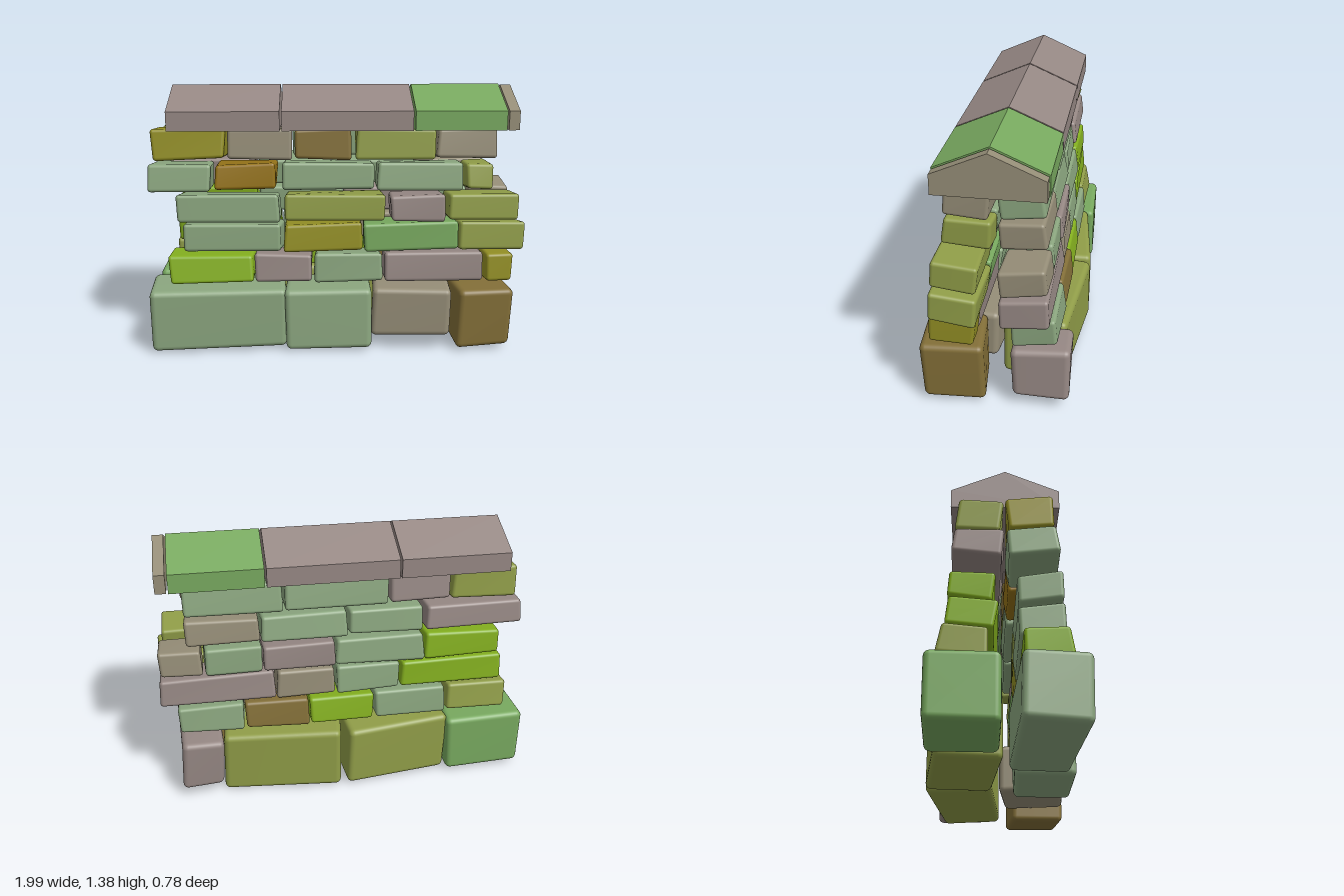
import * as THREE from 'three';
import { RoundedBoxGeometry } from 'three/addons/geometries/RoundedBoxGeometry.js';
import { mergeVertices } from 'three/addons/utils/BufferGeometryUtils.js';

const COLORS = {
  sage: 0x8ba67f, mauve: 0x968884, taupe: 0x968e78, olive: 0x909d48, mustard: 0x949025,
  lime: 0x84b01f, green: 0x78a95f, brown: 0x836f38, ochre: 0x957318,
};

// Small seeded generator, returns -1..1
let seed = 7;
function rand() {
  seed = (seed * 16807) % 2147483647;
  return (seed / 2147483647) * 2 - 1;
}

// Rounded block whose eight corners are nudged for a hewn look
function stoneGeometry(w, h, d, radius, jitter) {
  const geo = new RoundedBoxGeometry(w, h, d, 3, radius);
  geo.deleteAttribute('normal');
  geo.deleteAttribute('uv');
  geo.clearGroups();
  const corners = Array.from({ length: 8 }, () =>
    new THREE.Vector3(rand(), rand(), rand()).multiplyScalar(jitter));
  const pos = geo.attributes.position;
  const p = new THREE.Vector3();
  for (let i = 0; i < pos.count; i++) {
    p.fromBufferAttribute(pos, i);
    const f = [p.x / w + 0.5, p.y / h + 0.5, p.z / d + 0.5];
    corners.forEach((c, k) => {
      const weight = f.reduce((acc, t, axis) => acc * ((k >> axis) & 1 ? t : 1 - t), 1);
      p.addScaledVector(c, weight);
    });
    pos.setXYZ(i, p.x, p.y, p.z);
  }
  const merged = mergeVertices(geo, 1e-5);
  merged.computeVertexNormals();
  return merged;
}

// Foundation: [x0, x1, y0, y1, z0, z1, colour, yaw]
const FOUNDATION = [
  [-0.98, -0.27, 0.04, 0.37, 0.05, 0.36, 'sage', 0.05],
  [-0.26, 0.19, 0.04, 0.37, 0.06, 0.365, 'sage', -0.01],
  [0.2, 0.62, 0.1, 0.365, 0.01, 0.355, 'taupe', -0.08],
  [0.63, 0.92, 0.04, 0.37, 0.06, 0.37, 'brown', 0.1],
  [0.68, 0.9, 0.08, 0.365, -0.36, -0.08, 'mauve', 0.03],
  [0.03, 0.66, 0.03, 0.375, -0.36, -0.02, 'olive', -0.1],
  [-0.54, 0.02, 0.03, 0.375, -0.365, -0.02, 'olive', 0.1],
  [-0.98, -0.55, 0.04, 0.37, -0.36, -0.02, 'green', 0],
];

// Upper courses: height range, inner and outer z, then stones as [x0, x1, colour]
const COURSES = [
  { y: [0.39, 0.55], front: [0.08, 0.315], back: [0.07, 0.305],
    frontStones: [[-0.87, -0.43, 'lime'], [-0.42, -0.12, 'mauve'], [-0.11, 0.24, 'sage'],
      [0.26, 0.77, 'mauve'], [0.79, 0.93, 'mustard']],
    backStones: [[-0.88, -0.55, 'olive'], [-0.54, -0.15, 'sage'], [-0.14, 0.2, 'lime'],
      [0.21, 0.54, 'brown'], [0.55, 0.89, 'sage']] },
  { y: [0.55, 0.71], front: [0.06, 0.295], back: [0.03, 0.28],
    frontStones: [[-0.8, -0.28, 'sage'], [-0.27, 0.14, 'mustard'], [0.15, 0.64, 'green'],
      [0.65, 0.99, 'olive']],
    backStones: [[-0.86, -0.3, 'lime'], [-0.29, 0.05, 'sage'], [0.06, 0.37, 'taupe'],
      [0.38, 0.98, 'mauve']] },
  { y: [0.71, 0.86], front: [0.06, 0.285], back: [0.04, 0.27],
    frontStones: [[-0.82, -0.29, 'sage'], [-0.26, 0.26, 'olive'], [0.29, 0.57, 'mauve'],
      [0.59, 0.96, 'olive']],
    backStones: [[-0.84, -0.43, 'lime'], [-0.42, 0.05, 'sage'], [0.06, 0.43, 'mauve'],
      [0.44, 0.74, 'sage'], [0.75, 0.97, 'taupe']] },
  { y: [0.87, 1.02], front: [0.01, 0.255], back: [0.01, 0.245],
    frontStones: [[-0.97, -0.65, 'sage'], [-0.63, -0.31, 'ochre'], [-0.28, 0.2, 'sage'],
      [0.22, 0.67, 'sage'], [0.69, 0.82, 'olive']],
    backStones: [[-0.95, -0.43, 'mauve'], [-0.42, -0.02, 'sage'], [-0.01, 0.44, 'sage'],
      [0.45, 0.82, 'taupe']] },
  { y: [1.03, 1.2], front: [0.01, 0.235], back: [0.01, 0.23],
    frontStones: [[-0.95, -0.57, 'mustard'], [-0.56, -0.23, 'taupe'], [-0.21, 0.09, 'brown'],
      [0.11, 0.52, 'olive'], [0.53, 0.84, 'taupe']],
    backStones: [[-0.92, -0.57, 'olive'], [-0.56, -0.24, 'mauve'], [-0.23, 0.31, 'sage'],
      [0.32, 0.82, 'sage']] },
];

// Gabled coping blocks: [x0, x1, colour, scale]
const COPING = [
  [-0.86, -0.285, 'mauve', 1], [-0.275, 0.4, 'mauve', 1],
  [0.41, 0.88, 'green', 1], [0.89, 0.945, 'taupe', 0.98],
];

export function createModel() {
  const wall = new THREE.Group();
  wall.name = 'stoneWall';
  const mats = {};
  for (const [name, color] of Object.entries(COLORS)) {
    mats[name] = new THREE.MeshStandardMaterial({ color });
    mats[name].name = name;
  }

  const addGroup = (name) => {
    const g = new THREE.Group();
    g.name = name;
    wall.add(g);
    return g;
  };

  // Large foundation blocks
  const foundation = addGroup('foundation');
  for (const [x0, x1, y0, y1, z0, z1, color, yaw] of FOUNDATION) {
    const block = new THREE.Mesh(
      stoneGeometry(x1 - x0, y1 - y0, z1 - z0, 0.03, 0.01), mats[color]);
    block.name = 'foundationBlock';
    block.position.set((x0 + x1) / 2, (y0 + y1) / 2, (z0 + z1) / 2);
    block.rotation.y = yaw;
    foundation.add(block);
  }

  // Two leaves of smaller stones, each leaning towards the middle
  for (const [side, sign] of [['front', 1], ['back', -1]]) {
    const leaf = addGroup(side + 'Leaf');
    for (const course of COURSES) {
      const [y0, y1] = course.y;
      const [zIn, zOut] = course[side];
      for (const [x0, x1, color] of course[side + 'Stones']) {
        const stone = new THREE.Mesh(
          stoneGeometry(x1 - x0, y1 - y0 - 0.012, zOut - zIn - 0.01, 0.018, 0.009), mats[color]);
        stone.name = side + 'Stone';
        stone.position.set((x0 + x1) / 2, (y0 + y1) / 2 - 0.008, sign * (zIn + zOut) / 2);
        stone.rotation.x = -sign * 0.1;
        leaf.add(stone);
      }
    }
  }

  // Coping on top
  const coping = addGroup('coping');
  const base = 1.19;
  for (const [x0, x1, color, s] of COPING) {
    const gable = new THREE.Shape(
      [[-0.263, 0], [0.263, 0], [0.263, 0.1], [0, 0.215], [-0.263, 0.1]]
        .map(([z, y]) => new THREE.Vector2(z * s, y * s)));
    const geo = new THREE.ExtrudeGeometry(gable, { depth: x1 - x0, bevelEnabled: false });
    geo.rotateY(Math.PI / 2);
    const cap = new THREE.Mesh(geo, mats[color]);
    cap.name = 'copingBlock';
    cap.position.set(x0, base, 0.003);
    coping.add(cap);
  }
  return wall;
}
